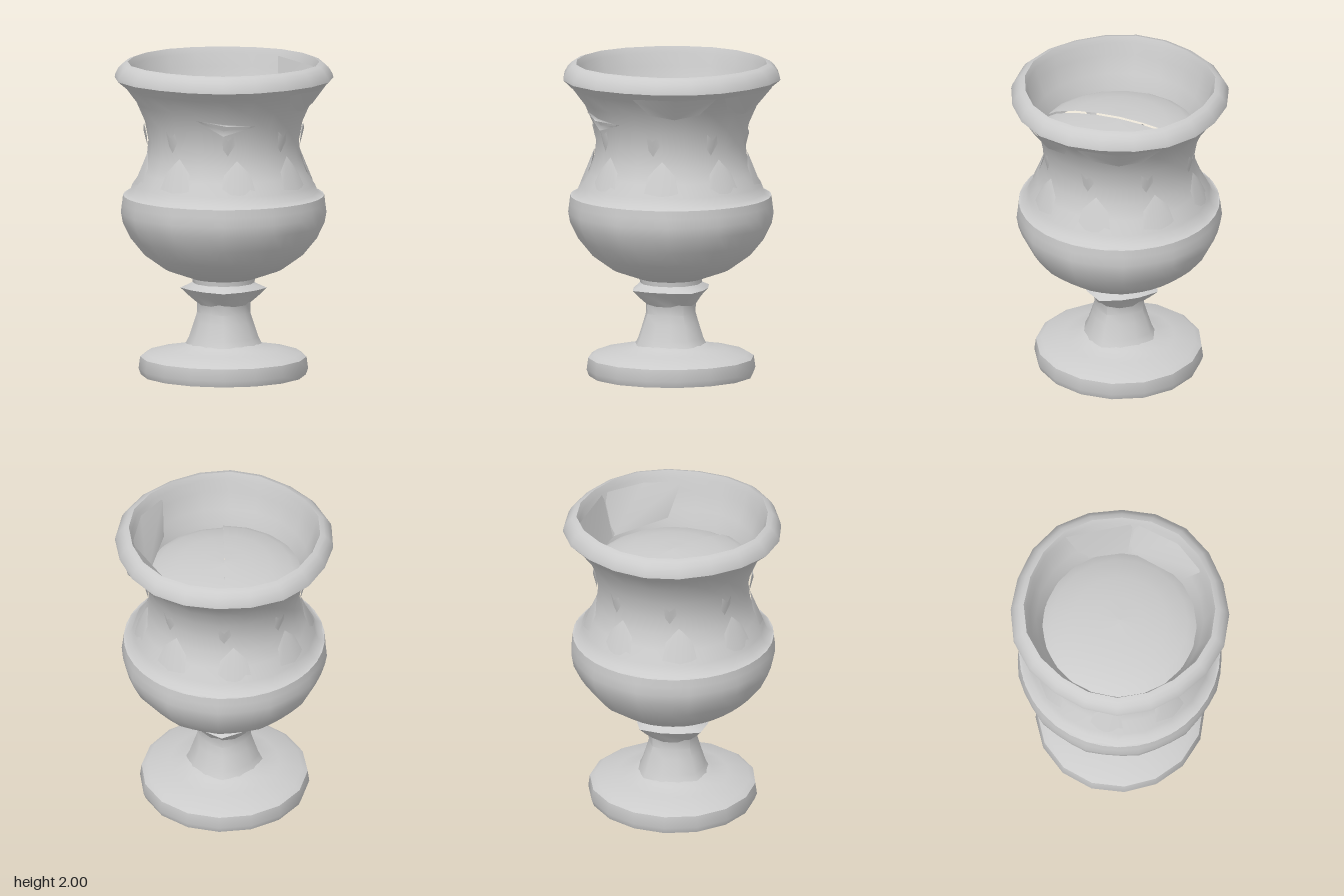
import * as THREE from 'three';
import { toCreasedNormals } from 'three/addons/utils/BufferGeometryUtils.js';

const mat = new THREE.MeshStandardMaterial({ color: 0xcccccc });
const thin = new THREE.MeshStandardMaterial({ color: 0xcccccc, side: THREE.DoubleSide });

// outer profile of neck and rim, shared with the relief that hugs it
const NECK = [[0.635, 1.15], [0.595, 1.17], [0.575, 1.22], [0.52, 1.3], [0.485, 1.4], [0.475, 1.5],
  [0.497, 1.62], [0.55, 1.74], [0.625, 1.84], [0.69, 1.9]];

function neckRadius(y) {
  const i = NECK.findIndex(p => y <= p[1]);
  const [r0, y0] = NECK[i - 1], [r1, y1] = NECK[i];
  return THREE.MathUtils.mapLinear(y, y0, y1, r0, r1);
}

// turned part, with a rule that scales the radius by angle and height
function turned(name, profile, segments, crease, rule) {
  const geo = new THREE.LatheGeometry(profile.map(p => new THREE.Vector2(p[0], p[1])), segments);
  const pos = geo.attributes.position;
  for (let i = 0; i < pos.count; i++) {
    const x = pos.getX(i), z = pos.getZ(i);
    const k = rule(Math.atan2(x, z), pos.getY(i));
    pos.setX(i, x * k);
    pos.setZ(i, z * k);
  }
  const mesh = new THREE.Mesh(toCreasedNormals(geo, crease), mat);
  mesh.name = name;
  return mesh;
}

// thin fan of corners, all in order round its edge
function sheet(name, corners) {
  const geo = new THREE.BufferGeometry().setFromPoints(corners);
  const index = [];
  for (let i = 1; i < corners.length - 1; i++) index.push(0, i, i + 1);
  geo.setIndex(index);
  geo.computeVertexNormals();
  const mesh = new THREE.Mesh(geo, thin);
  mesh.name = name;
  return mesh;
}

// sheet wrapped on the neck: corners are [angle offset, height, lift]
function relief(name, angle, corners) {
  return sheet(name, corners.map(([a, y, lift]) => {
    const r = neckRadius(y) + lift;
    return new THREE.Vector3(Math.sin(angle + a) * r, y, Math.cos(angle + a) * r);
  }));
}

export function createModel() {
  const urn = new THREE.Group();
  urn.name = 'urn';

  // foot with a hollow underneath
  urn.add(turned('foot', [[0, 0.12], [0.25, 0.1], [0.46, 0.015], [0.52, 0], [0.535, 0.04], [0.525, 0.115],
    [0.49, 0.138], [0.35, 0.165], [0.25, 0.19], [0.22, 0.205], [0, 0.205]], 16, 0.8,
  a => 1 + 0.008 * Math.sin(3 * a + 1)));

  // stem, drawn slightly square, and the pointed knop above it
  urn.add(turned('stem', [[0.23, 0.2], [0.21, 0.24], [0.178, 0.34], [0.16, 0.4], [0.162, 0.47], [0.19, 0.53]],
    12, 0.8, a => 1 + 0.05 * Math.cos(4 * a)));
  urn.add(turned('knop', [[0.155, 0.45], [0.2, 0.505], [0.248, 0.555], [0.195, 0.59], [0.2, 0.635]],
    12, 0.8, (a, y) => 1 + (y > 0.5 && y < 0.57 ? 0.1 * Math.cos(4 * a) : 0)));

  // bowl with faint gadroons
  urn.add(turned('bowl', [[0, 0.61], [0.2, 0.62], [0.27, 0.645], [0.38, 0.685], [0.5, 0.77], [0.58, 0.87],
    [0.63, 0.97], [0.645, 1.04], [0.64, 1.1], [0.635, 1.15], [0.57, 1.165]], 36, 0.9,
  (a, y) => 1 + 0.012 * Math.cos(12 * a) * Math.sin(Math.PI * THREE.MathUtils.clamp((y - 0.62) / 0.5, 0, 1))));

  // neck, rolled rim and inner wall
  urn.add(turned('neckAndRim', [...NECK, [0.685, 1.925], [0.662, 1.965], [0.635, 1.99], [0.605, 2],
    [0.588, 1.96], [0.57, 1.88], [0.53, 1.77], [0.495, 1.69], [0.475, 1.6]], 20, 0.9,
  (a, y) => 1 + (y > 1.85 ? 0.012 * Math.sin(5 * a + y * 4) : 0)));

  // inside floor: two low domed halves meeting at a seam
  const dome = [[0.49, 1.65], [0.43, 1.685], [0.3, 1.72], [0.15, 1.738], [0, 1.745]]
    .map(p => new THREE.Vector2(p[0], p[1]));
  for (const side of [0, 1]) {
    const half = new THREE.Mesh(new THREE.LatheGeometry(dome, 10, side * Math.PI, Math.PI), thin);
    half.name = 'floorHalf';
    half.rotation.y = 0.08;
    half.position.y = side * 0.015;
    urn.add(half);
  }

  // flat panels against the left inner wall
  const v = (x, y, z) => new THREE.Vector3(x, y, z);
  urn.add(sheet('innerPanel', [v(0.34, 1.68, -0.36), v(0.47, 1.68, -0.11), v(0.57, 1.95, -0.11), v(0.34, 1.96, -0.48)]));
  urn.add(sheet('innerPanel', [v(0.48, 1.68, -0.1), v(0.4, 1.72, 0.28), v(0.415, 1.93, 0.4),
    v(0.54, 1.94, 0.2), v(0.575, 1.95, -0.1)]));

  // worn leaves round the neck, the lower ones sinking into it at their base
  for (let i = 0; i < 8; i++) {
    const angle = i * Math.PI / 4;
    urn.add(relief('lowerLeaf', 0.18 + angle, [[0, 1.44, 0.004], [-0.17, 1.35, 0.003], [-0.2, 1.24, -0.008],
      [0, 1.23, 0.002], [0.2, 1.24, -0.008], [0.17, 1.35, 0.003]]));
    urn.add(relief('upperLeaf', 0.06 + angle, [[0, 1.47, 0.004], [0.09, 1.54, 0.008], [0.07, 1.6, 0.008],
      [0, 1.57, 0.02], [-0.08, 1.61, 0.008], [-0.06, 1.51, 0.006]]));
  }

  // projecting flap at the front, and patches under the rim on the left
  urn.add(relief('frontFlap', 0.04, [[-0.36, 1.7, 0.005], [-0.04, 1.6, 0.015], [0.36, 1.66, 0.005], [0, 1.67, 0.035]]));
  for (const angle of [1.12, 2.05]) {
    urn.add(relief('rimPatch', angle, [[0, 1.72, 0.015], [0.28, 1.75, 0.012], [0.42, 1.86, 0.005],
      [0, 1.86, 0.02], [-0.42, 1.86, 0.005], [-0.28, 1.75, 0.012]]));
  }
  return urn;
}
